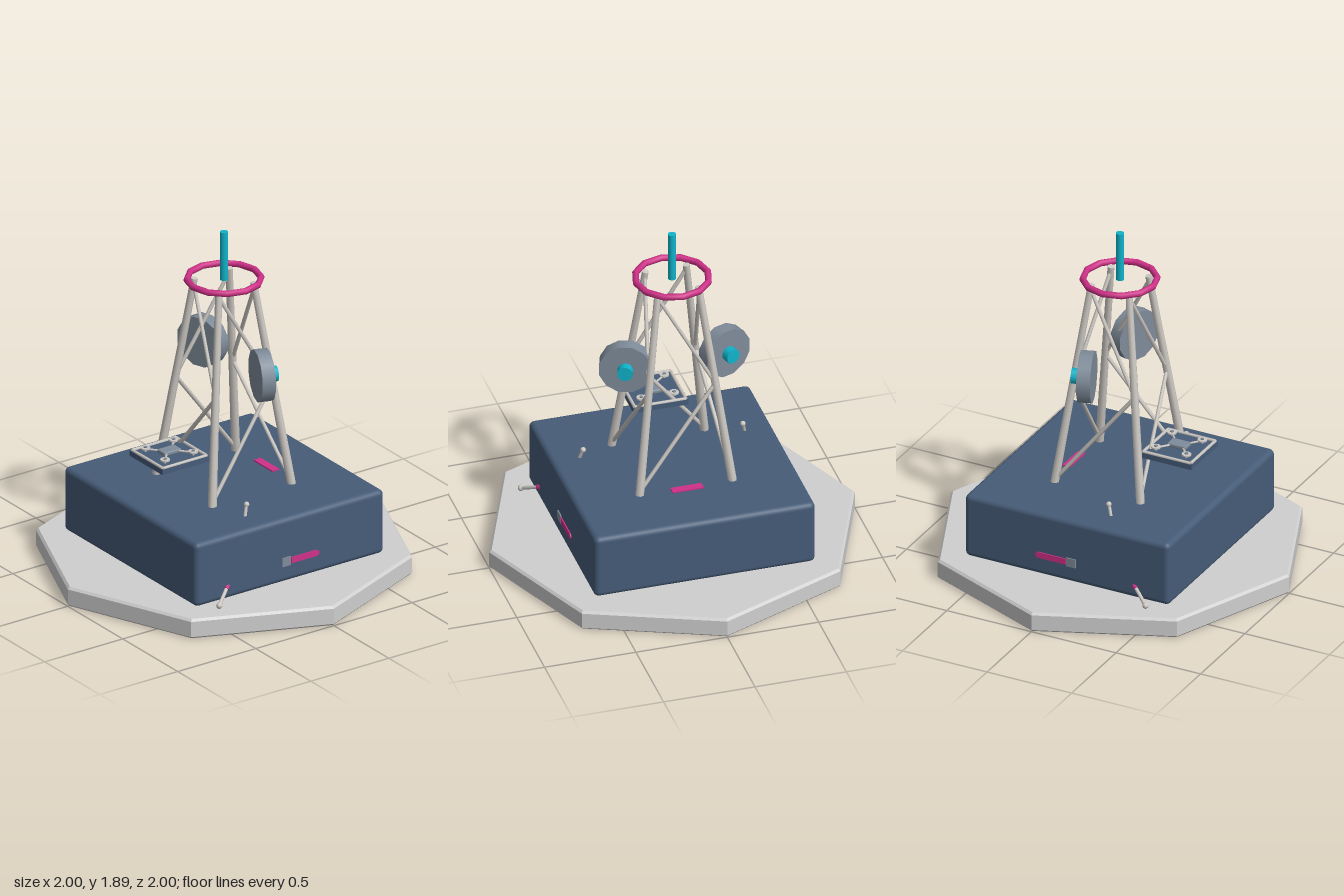
import * as THREE from 'three';
import { RoundedBoxGeometry } from 'three/addons/geometries/RoundedBoxGeometry.js';

const mat = (name, color, flatShading = false) => {
  const m = new THREE.MeshStandardMaterial({ color, flatShading });
  m.name = name;
  return m;
};
const V = (x, y, z) => new THREE.Vector3(x, y, z);

export function createModel() {
  const model = new THREE.Group();
  model.name = 'relayStation';
  const lightGrey = mat('light grey', 0xcfcfcf);
  const paleMetal = mat('pale metal', 0xcdc9c4);
  const navy = mat('navy blue', 0x465c78);
  const slate = mat('slate grey', 0x7f8c9a);
  const pink = mat('magenta', 0xcf3088);
  const cyan = mat('cyan', 0x10b4cb);
  lightGrey.flatShading = true;

  const add = (parent, name, geometry, material, x = 0, y = 0, z = 0) => {
    const mesh = new THREE.Mesh(geometry, material);
    mesh.name = name;
    mesh.position.set(x, y, z);
    parent.add(mesh);
    return mesh;
  };
  const group = (name, parent = model) => {
    const g = new THREE.Group();
    g.name = name;
    parent.add(g);
    return g;
  };
  // Round bar between two points
  const bar = (parent, name, a, b, r0, r1, material, sides = 8) => {
    const d = b.clone().sub(a);
    const m = add(parent, name, new THREE.CylinderGeometry(r1, r0, d.length(), sides), material);
    m.position.copy(a).addScaledVector(d, 0.5);
    m.quaternion.setFromUnitVectors(V(0, 1, 0), d.normalize());
    return m;
  };

  // Octagonal base slab with a small chamfer
  const slab = [[0, 0], [0.99, 0], [1, 0.01], [1, 0.097], [0.987, 0.11], [0, 0.11]];
  add(model, 'baseSlab', new THREE.LatheGeometry(slab.map(p => new THREE.Vector2(...p)), 8), lightGrey);

  // Main block
  add(model, 'mainBlock', new RoundedBoxGeometry(1.21, 0.365, 1.21, 3, 0.03), navy, 0, 0.2925, 0);
  add(model, 'roofStripe', new THREE.BoxGeometry(0.17, 0.008, 0.045), pink, 0, 0.478, -0.272);

  // Lattice mast: four legs, with a zigzag brace on each face
  const mast = group('mast');
  const corner = (i, y) => {
    const s = THREE.MathUtils.mapLinear(y, 0.475, 1.61, 0.253, 0.112);
    const [x, z] = [[-1, 1], [1, 1], [1, -1], [-1, -1]][i % 4];
    return V(x * s, y, z * s);
  };
  for (let i = 0; i < 4; i++) {
    bar(mast, 'mastLeg', corner(i, 0.47), corner(i, 1.615), 0.024, 0.019, paleMetal);
    bar(mast, 'lowerBrace', corner(i, 0.49), corner(i + 1, 1.045), 0.011, 0.011, paleMetal, 6);
    bar(mast, 'upperBrace', corner(i + 1, 1.045), corner(i, 1.59), 0.011, 0.011, paleMetal, 6);
  }
  const ring = add(mast, 'topRing', new THREE.TorusGeometry(0.196, 0.018, 8, 12), pink, 0, 1.625, 0);
  ring.rotation.x = Math.PI / 2;
  add(mast, 'antenna', new THREE.CylinderGeometry(0.022, 0.022, 0.275, 12), cyan, 0, 1.7575, 0);

  // Parts repeated on both sides
  for (const s of [-1, 1]) {
    const side = s > 0 ? 'left' : 'right';

    // Drum dish turned inward, with a hub on its back
    const dish = group(side + 'Dish');
    dish.position.set(s * 0.27, 1.155, -0.055);
    dish.rotation.y = -s * 0.34;
    const drum = add(dish, 'dishDrum', new THREE.CylinderGeometry(0.142, 0.142, 0.073, 12), slate);
    drum.rotation.set(Math.PI / 2, Math.PI / 12, 0);
    const hub = add(dish, 'dishHub', new THREE.CylinderGeometry(0.042, 0.042, 0.05, 10), cyan, 0, 0, -0.055);
    hub.rotation.x = Math.PI / 2;

    // Side stripe with its square end plate
    add(model, side + 'Stripe', new THREE.BoxGeometry(0.009, 0.034, 0.165), pink, s * 0.607, 0.229, -0.085);
    add(model, side + 'StripePlate', new THREE.BoxGeometry(0.009, 0.05, 0.055), slate, s * 0.607, 0.229, 0.028);
    const tip = add(model, side + 'StripeTip', new THREE.CylinderGeometry(0.017, 0.017, 0.009, 8), pink, s * 0.607, 0.229, -0.165);
    tip.rotation.z = Math.PI / 2;

    // Roof lamp
    const lamp = group(side + 'RoofLamp');
    bar(lamp, 'lampStem', V(s * 0.453, 0.465, 0.185), V(s * 0.438, 0.528, 0.165), 0.009, 0.009, paleMetal);
    add(lamp, 'lampHead', new THREE.SphereGeometry(0.015, 10, 8), paleMetal, s * 0.437, 0.53, 0.163);

    // Short strut to the slab
    const strut = group(side + 'Strut');
    bar(strut, 'strutRod', V(s * 0.6, 0.182, 0.4), V(s * 0.672, 0.127, 0.502), 0.01, 0.01, paleMetal);
    bar(strut, 'strutCollar', V(s * 0.598, 0.184, 0.397), V(s * 0.611, 0.174, 0.415), 0.013, 0.013, pink);
    add(strut, 'strutFoot', new THREE.SphereGeometry(0.017, 10, 8), paleMetal, s * 0.674, 0.126, 0.504);
  }

  // Landing platform with raised tube edge
  const platform = group('landingPlatform');
  platform.position.set(0, 0.695, 0.35);
  add(platform, 'platformDeck', new THREE.BoxGeometry(0.3, 0.03, 0.3), navy);
  for (let i = 0; i < 4; i++) {
    const edge = group('platformEdge', platform);
    edge.rotation.y = i * Math.PI / 2;
    bar(edge, 'edgeTube', V(-0.14, 0.017, 0.14), V(0.14, 0.017, 0.14), 0.009, 0.009, paleMetal, 6);
  }

  // Small four-rotor aircraft parked on the platform
  const craft = group('quadcopter', platform);
  add(craft, 'craftBody', new RoundedBoxGeometry(0.07, 0.024, 0.11, 2, 0.008), slate, 0, 0.03, 0);
  for (const x of [-1, 1]) for (const z of [-1, 1]) {
    bar(craft, 'craftArm', V(x * 0.025, 0.03, z * 0.035), V(x * 0.09, 0.03, z * 0.09), 0.006, 0.006, paleMetal, 6);
    add(craft, 'rotorDisc', new THREE.CylinderGeometry(0.026, 0.026, 0.008, 12), paleMetal, x * 0.09, 0.035, z * 0.09);
    add(craft, 'rotorHub', new THREE.CylinderGeometry(0.01, 0.01, 0.006, 8), slate, x * 0.09, 0.041, z * 0.09);
    add(craft, 'craftFoot', new THREE.CylinderGeometry(0.006, 0.006, 0.02, 6), paleMetal, x * 0.09, 0.024, z * 0.09);
  }
  return model;
}
